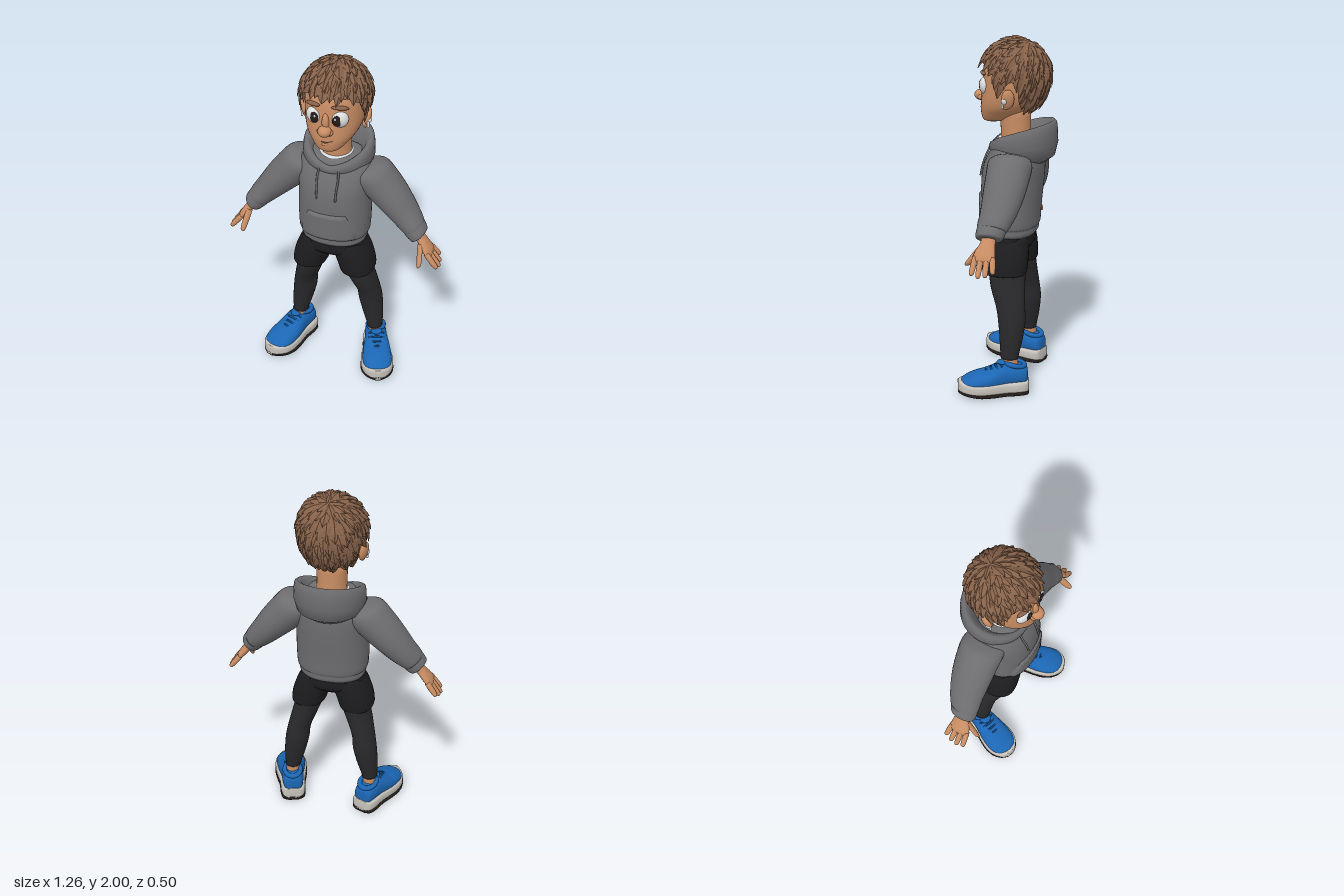
import * as THREE from 'three';
import { mergeGeometries } from 'three/addons/utils/BufferGeometryUtils.js';

const V = (x, y, z) => new THREE.Vector3(x, y, z);
const X = V(1, 0, 0), Y = V(0, 1, 0), Z = V(0, 0, 1);
const mat = (name, color) => Object.assign(new THREE.MeshStandardMaterial({ color }), { name });

// Closed surface through rings of points; optionally the last ring joins the first
function skin(rings, loop = false) {
  const n = rings[0].length, m = rings.length, pts = rings.flat(), idx = [];
  for (let r = 0; r < (loop ? m : m - 1); r++) for (let i = 0; i < n; i++) {
    const a = r * n + i, b = r * n + (i + 1) % n, c = ((r + 1) % m) * n + i, d = ((r + 1) % m) * n + (i + 1) % n;
    idx.push(a, b, c, b, d, c);
  }
  if (!loop) for (const r of [0, m - 1]) {
    const mid = V(0, 0, 0);
    rings[r].forEach(p => mid.addScaledVector(p, 1 / n));
    pts.push(mid);
    for (let i = 0; i < n; i++) {
      const a = r * n + i, b = r * n + (i + 1) % n;
      r ? idx.push(a, b, pts.length - 1) : idx.push(b, a, pts.length - 1);
    }
  }
  let volume = 0;
  for (let i = 0; i < idx.length; i += 3) volume += pts[idx[i]].dot(pts[idx[i + 1]].clone().cross(pts[idx[i + 2]]));
  if (volume < 0) idx.reverse();
  const g = new THREE.BufferGeometry().setFromPoints(pts);
  g.setIndex(idx);
  g.computeVertexNormals();
  return g;
}

// Rows are [x, y, z, radiusU, radiusV]
function smooth(rows, k = 3) {
  const c = new THREE.CatmullRomCurve3(rows.map(r => V(r[0], r[1], r[2])), false, 'catmullrom');
  const s = new THREE.CatmullRomCurve3(rows.map(r => V(r[3], r[4], 0)), false, 'catmullrom');
  const n = (rows.length - 1) * k;
  return Array.from({ length: n + 1 }, (_, i) => {
    const p = c.getPoint(i / n), q = s.getPoint(i / n);
    return [p.x, p.y, p.z, Math.max(q.x, 0.001), Math.max(q.y, 0.001)];
  });
}
const bend = (t, e) => Math.sign(t) * Math.abs(t) ** (2 / e);
function loft(rows, { u = X, v = Z, n = 28, e = 2 } = {}) {
  return skin(smooth(rows).map(([x, y, z, ru, rv]) => Array.from({ length: n }, (_, i) => {
    const a = i / n * Math.PI * 2;
    return V(x, y, z).addScaledVector(u, ru * bend(Math.cos(a), e)).addScaledVector(v, rv * bend(Math.sin(a), e));
  })));
}
const ball = (x, y, z, rx, ry, rz, turn = 0, roll = 0) =>
  new THREE.SphereGeometry(1, 20, 14).scale(rx, ry, rz).rotateZ(roll).rotateY(turn).translate(x, y, z);
const tube = (pts, r) => new THREE.TubeGeometry(new THREE.CatmullRomCurve3(pts.map(p => V(...p))), 12, r, 6);
function mirrored(geo) {
  const g = geo.clone().scale(-1, 1, 1);
  g.index.array.reverse();
  return g;
}
// Linear lookup in a table, by its key column
function lookup(table, key, t) {
  let i = 0;
  while (i < table.length - 2 && table[i + 1][key] < t) i++;
  const a = table[i], b = table[i + 1], f = THREE.MathUtils.clamp((t - a[key]) / (b[key] - a[key]), 0, 1);
  return a.map((q, j) => q + (b[j] - q) * f);
}

// Hair: a cap ending at the hairline, covered in leaf-shaped locks
const HAIRLINE = [[0, 70], [40, 72], [60, 84], [72, 107], [82, 107], [93, 92], [105, 99], [118, 136], [180, 148]];
const hairLimit = az => lookup(HAIRLINE, 0, Math.abs(az) * 180 / Math.PI)[1] * Math.PI / 180;
const hairPoint = (d, lift) => V(d.x * (0.182 + lift), 1.79 + d.y * ((d.y < 0 ? 0.225 : 0.187) + lift), -0.012 + d.z * (0.187 + lift));
function hairGeometry() {
  const cap = new THREE.SphereGeometry(1, 48, 16, 0, Math.PI * 2, 0, 3), p = cap.attributes.position;
  for (let i = 0; i < p.count; i++) {
    const az = Math.atan2(p.getX(i), p.getZ(i)), pol = Math.acos(Math.min(1, p.getY(i))) / 3 * hairLimit(az);
    const q = hairPoint(V().setFromSphericalCoords(1, pol, az), 0);
    p.setXYZ(i, q.x, q.y, q.z);
  }
  let seed = 7;
  const rnd = () => (seed = (seed * 16807) % 2147483647) / 2147483647;
  const pts = [], idx = [], N = 330;
  for (let k = 0; k < N; k++) {
    const pol = Math.acos(1 - 2 * (k + 0.5) / N), az = k * 2.39996 + rnd() * 0.2;
    const at = (s, a = az) => V().setFromSphericalCoords(1, pol + s, a).applyAxisAngle(X, -0.4);
    const mid = at(0);
    if (Math.acos(mid.y) > hairLimit(Math.atan2(mid.x, mid.z)) - 0.08) continue;
    const len = 0.46 + rnd() * 0.16, w = 0.024 + rnd() * 0.009, tip = 0.012 + rnd() * 0.012, sway = (rnd() - 0.5) * 0.03;
    const side = V(Math.cos(az), 0, -Math.sin(az)).applyAxisAngle(X, -0.4), base = pts.length;
    [0.5, 0.95, 1, 0.65, 0.02].forEach((f, r) => {
      const d = at(len * (r / 4 - 0.5)), lift = 0.002 + tip * (r / 4) ** 1.3;
      for (const j of [-1, 0, 1])
        pts.push(hairPoint(d, lift + (j ? -0.003 : 0.008 * f)).addScaledVector(side, j * w * f + sway * (r / 4) ** 2));
      if (r < 4) for (const c of [0, 1]) {
        const a = base + r * 3 + c;
        idx.push(a, a + 3, a + 1, a + 1, a + 3, a + 4);
      }
    });
  }
  const locks = new THREE.BufferGeometry().setFromPoints(pts);
  locks.setIndex(idx);
  cap.deleteAttribute('uv'); cap.deleteAttribute('normal');
  const g = mergeGeometries([cap, locks]).toNonIndexed();
  g.computeVertexNormals();
  return g;
}

export function createModel() {
  const model = new THREE.Group();
  const skinM = mat('skin', 0xc98d63), hairM = mat('hair', 0x87624a), grey = mat('hoodieGrey', 0x6e6e71);
  const shortsM = mat('shortsBlack', 0x1d1d1f), legM = mat('leggingsBlack', 0x29292b), blue = mat('shoeBlue', 0x1c66b4);
  const laceM = mat('laceBlue', 0x154f90), white = mat('white', 0xdedede), soleM = mat('midsole', 0xc6c2bb), dark = mat('dark', 0x231c1a);
  hairM.side = THREE.DoubleSide;
  const add = (name, geo, m) => { const o = new THREE.Mesh(geo, m); o.name = name; model.add(o); };
  const pair = (name, geo, m) => { add('left' + name, geo, m); add('right' + name, mirrored(geo), m); };

  // Head and face
  add('head', loft([[0, 1.525, 0.115, 0.03, 0.035], [0, 1.54, 0.095, 0.07, 0.075], [0, 1.58, 0.06, 0.108, 0.118], [0, 1.62, 0.03, 0.138, 0.147],
    [0, 1.68, 0.002, 0.157, 0.17], [0, 1.75, -0.012, 0.163, 0.177], [0, 1.82, -0.018, 0.162, 0.174], [0, 1.89, -0.02, 0.14, 0.145], [0, 1.94, -0.02, 0.08, 0.08]], { n: 40, e: 2.2 }), skinM);
  add('neck', loft([[0, 1.36, -0.02, 0.1, 0.095], [0, 1.45, -0.018, 0.084, 0.084], [0, 1.62, -0.01, 0.088, 0.088]]), skinM);
  add('nose', ball(0, 1.668, 0.183, 0.037, 0.031, 0.037), skinM);
  add('noseBridge', ball(0, 1.71, 0.165, 0.02, 0.055, 0.022), skinM);
  pair('Nostril', ball(0.027, 1.66, 0.176, 0.017, 0.017, 0.02), skinM);
  add('mouth', tube([[-0.045, 1.6, 0.168], [0, 1.597, 0.177], [0.042, 1.607, 0.171]], 0.004), hairM);
  add('lowerLip', ball(0, 1.583, 0.172, 0.026, 0.01, 0.01), skinM);
  pair('Eye', ball(0.072, 1.733, 0.142, 0.045, 0.047, 0.03, 0.3), white);
  pair('Iris', ball(0.064, 1.732, 0.167, 0.027, 0.031, 0.009, 0.22), dark);
  pair('EyeGlint', ball(0.056, 1.745, 0.176, 0.006, 0.007, 0.003), white);
  pair('Eyebrow', ball(0.075, 1.803, 0.149, 0.047, 0.011, 0.014, 0.35, -0.08), hairM);
  pair('Ear', ball(0.174, 1.68, -0.012, 0.02, 0.056, 0.036, 0.35, -0.2), skinM);
  pair('EarLobe', ball(0.165, 1.645, 0.0, 0.015, 0.025, 0.022), skinM);
  pair('Earbud', ball(0.188, 1.672, 0.004, 0.013, 0.018, 0.016), white);
  pair('EarbudStem', new THREE.CapsuleGeometry(0.007, 0.03, 4, 8).translate(0.186, 1.65, 0.016), white);
  add('hair', hairGeometry(), hairM);

  // Hoodie body
  const torso = [[0, 0.89, 0.01, 0.178, 0.138], [0, 0.91, 0.01, 0.19, 0.152], [0, 0.938, 0.01, 0.19, 0.153], [0, 0.955, 0.01, 0.202, 0.162], [0, 1.05, 0.008, 0.206, 0.166],
    [0, 1.2, 0, 0.205, 0.173], [0, 1.3, -0.012, 0.212, 0.165], [0, 1.38, -0.025, 0.2, 0.142], [0, 1.43, -0.02, 0.15, 0.115], [0, 1.44, -0.02, 0.1, 0.09]];
  add('hoodieBody', loft(torso, { n: 44, e: 2.25 }), grey);
  const table = smooth(torso);
  const frontZ = (x, y) => {
    const [, , z, rx, rz] = lookup(table, 1, y);
    return z + rz * Math.max(0, 1 - (Math.abs(x) / rx) ** 2.25) ** (1 / 2.25);
  };

  // Kangaroo pocket draped on the front
  const pocket = new THREE.PlaneGeometry(1, 1, 20, 14), pp = pocket.attributes.position;
  for (let i = 0; i < pp.count; i++) {
    const u = pp.getX(i), v = pp.getY(i) + 0.5, y = 0.945 + v * 0.18;
    const half = v < 0.35 ? 0.165 : 0.165 - (v - 0.35) / 0.65 * 0.055, x = u * 2 * half;
    const edge = Math.abs(u) > 0.49 || v < 0.01 || v > 0.99;
    pp.setXYZ(i, x, y, frontZ(x, y) + (edge ? -0.006 : 0.014));
  }
  pocket.computeVertexNormals();
  add('pocket', pocket, grey);

  // Hood resting round the neck: the section changes from back to front
  const back = [[0.1, 1.37], [0.125, 1.46], [0.155, 1.525], [0.18, 1.545], [0.195, 1.53], [0.2, 1.49], [0.203, 1.42], [0.185, 1.345], [0.14, 1.31]];
  const front = [[0.12, 1.36], [0.132, 1.385], [0.145, 1.4], [0.16, 1.405], [0.174, 1.4], [0.18, 1.385], [0.178, 1.37], [0.165, 1.355], [0.14, 1.35]];
  add('hood', skin(Array.from({ length: 48 }, (_, k) => {
    const a = k / 48 * Math.PI * 2, b = ((1 + Math.cos(a)) / 2) ** 0.6;
    return back.map(([r, y], i) => {
      const rr = front[i][0] + (r - front[i][0]) * b;
      return V(Math.sin(a) * rr * 1.03, front[i][1] + (y - front[i][1]) * b, -0.05 - Math.cos(a) * rr);
    });
  }), true), grey);
  add('shirtCollar', loft([[0, 1.37, -0.01, 0.11, 0.115], [0, 1.42, -0.012, 0.1, 0.105], [0, 1.445, -0.015, 0.09, 0.092]]), white);
  pair('Drawstring', tube([[0.055, 1.39, 0.118], [0.06, 1.34, frontZ(0.06, 1.34) + 0.008], [0.056, 1.28, frontZ(0.056, 1.28) + 0.007], [0.055, 1.22, frontZ(0.055, 1.22) + 0.008]], 0.006), grey);

  // Sleeves and hands
  const along = { u: V(0.76, 0.65, 0), v: Z };
  pair('Sleeve', loft([[0.13, 1.345, -0.03, 0.06, 0.1], [0.19, 1.325, -0.03, 0.108, 0.122], [0.25, 1.27, -0.03, 0.108, 0.12], [0.33, 1.185, -0.025, 0.096, 0.112],
    [0.4, 1.105, -0.015, 0.08, 0.098], [0.45, 1.05, 0, 0.068, 0.087], [0.468, 1.03, 0.005, 0.06, 0.078]], along), grey);
  pair('Cuff', loft([[0.452, 1.045, 0.005, 0.05, 0.068], [0.458, 1.038, 0.005, 0.064, 0.08], [0.49, 1.0, 0.012, 0.058, 0.074], [0.496, 0.992, 0.012, 0.048, 0.062]], along), grey);
  pair('Palm', loft([[0.465, 1.025, 0.015, 0.03, 0.04], [0.505, 0.975, 0.015, 0.026, 0.04], [0.535, 0.935, 0.022, 0.024, 0.054], [0.56, 0.903, 0.025, 0.02, 0.06], [0.572, 0.888, 0.025, 0.012, 0.05]], along), skinM);
  const digit = (a, b, r) => loft([0, 0.4, 0.85, 0.97, 1].map((t, i) => [...V(...a).lerp(V(...b), t).toArray(), ...Array(2).fill(r * [1, 1.05, 0.9, 0.55, 0.1][i])]), { ...along, n: 12 });
  [0.085, 0.105, 0.112, 0.1].forEach((len, i) =>
    pair('Finger' + (i + 1), digit([0.553, 0.91, -0.022 + 0.031 * i], [0.553 + len * 0.67, 0.91 - len * 0.82, -0.036 + 0.038 * i], 0.0155), skinM));
  pair('Thumb', digit([0.51, 0.955, 0.045], [0.53, 0.85, 0.128], 0.019), skinM);

  // Shorts, leggings and ankles
  add('shortsTop', loft([[0, 0.93, 0.012, 0.17, 0.13], [0, 0.88, 0.014, 0.186, 0.138], [0, 0.83, 0.014, 0.178, 0.133], [0, 0.79, 0.012, 0.09, 0.09]], { n: 36, e: 2.3 }), shortsM);
  pair('ShortsLeg', loft([[0.09, 0.89, 0.014, 0.085, 0.12], [0.107, 0.82, 0.015, 0.104, 0.13], [0.13, 0.75, 0.015, 0.104, 0.13], [0.142, 0.695, 0.015, 0.1, 0.126], [0.143, 0.685, 0.015, 0.092, 0.118]], { e: 2.3 }), shortsM);
  pair('Legging', loft([[0.13, 0.75, 0, 0.085, 0.107], [0.14, 0.68, 0, 0.08, 0.104], [0.165, 0.6, -0.01, 0.074, 0.098], [0.195, 0.5, -0.032, 0.067, 0.083],
    [0.206, 0.42, -0.042, 0.07, 0.078], [0.222, 0.32, -0.042, 0.062, 0.066], [0.236, 0.23, -0.037, 0.048, 0.053], [0.237, 0.21, -0.037, 0.046, 0.051]]), legM);
  pair('Ankle', loft([[0.237, 0.25, -0.038, 0.038, 0.043], [0.24, 0.19, -0.04, 0.04, 0.046], [0.243, 0.12, -0.04, 0.042, 0.05]]), skinM);

  // Running shoes, turned outward
  const shoe = (name, geo, m) => pair(name, geo.rotateY(0.35).translate(0.245, 0, -0.04), m);
  const len = { u: X, v: Y, n: 32 };
  shoe('ShoeUpper', loft([[0, 0.1, -0.1, 0.03, 0.045], [0, 0.11, -0.085, 0.054, 0.058], [0, 0.115, -0.04, 0.064, 0.064], [0, 0.115, 0.02, 0.067, 0.076],
    [0, 0.105, 0.07, 0.076, 0.07], [0, 0.09, 0.13, 0.085, 0.058], [0, 0.08, 0.2, 0.086, 0.048], [0, 0.07, 0.255, 0.066, 0.036], [0, 0.065, 0.288, 0.025, 0.018]], { ...len, e: 2.3 }), blue);
  shoe('ShoeCollar', new THREE.TorusGeometry(0.048, 0.014, 10, 28).rotateX(Math.PI / 2).scale(1, 1, 1.15).rotateX(-0.2).translate(0, 0.177, -0.028), blue);
  shoe('ShoeTongue', ball(0, 0.183, 0.04, 0.034, 0.012, 0.036, 0).translate(0, 0.004, 0), blue);
  const sole = (y, h, grow, toe) => [[-0.105, 0.04], [-0.09, 0.064], [-0.04, 0.075], [0.03, 0.077], [0.1, 0.09], [0.17, 0.098], [0.23, 0.088], [0.275, 0.058], [0.297, 0.02]]
    .map(([z, w]) => [0, y + (z > 0.15 ? toe * (z - 0.15) / 0.15 : 0), z, w + grow, h]);
  shoe('Midsole', loft(sole(0.05, 0.036, 0, 0.006), { ...len, e: 4 }), soleM);
  shoe('Outsole', loft(sole(0.0125, 0.0125, 0.002, 0.018), { ...len, e: 4 }), dark);
  [0.055, 0.082, 0.109, 0.136].forEach((z, i) => {
    const top = 0.184 - i * 0.014;
    shoe('Lace' + (i + 1), tube([[-0.046, top - 0.012, z - 0.008], [0, top + 0.003, z], [0.046, top - 0.012, z - 0.008]], 0.006), laceM);
  });
  return model;
}
